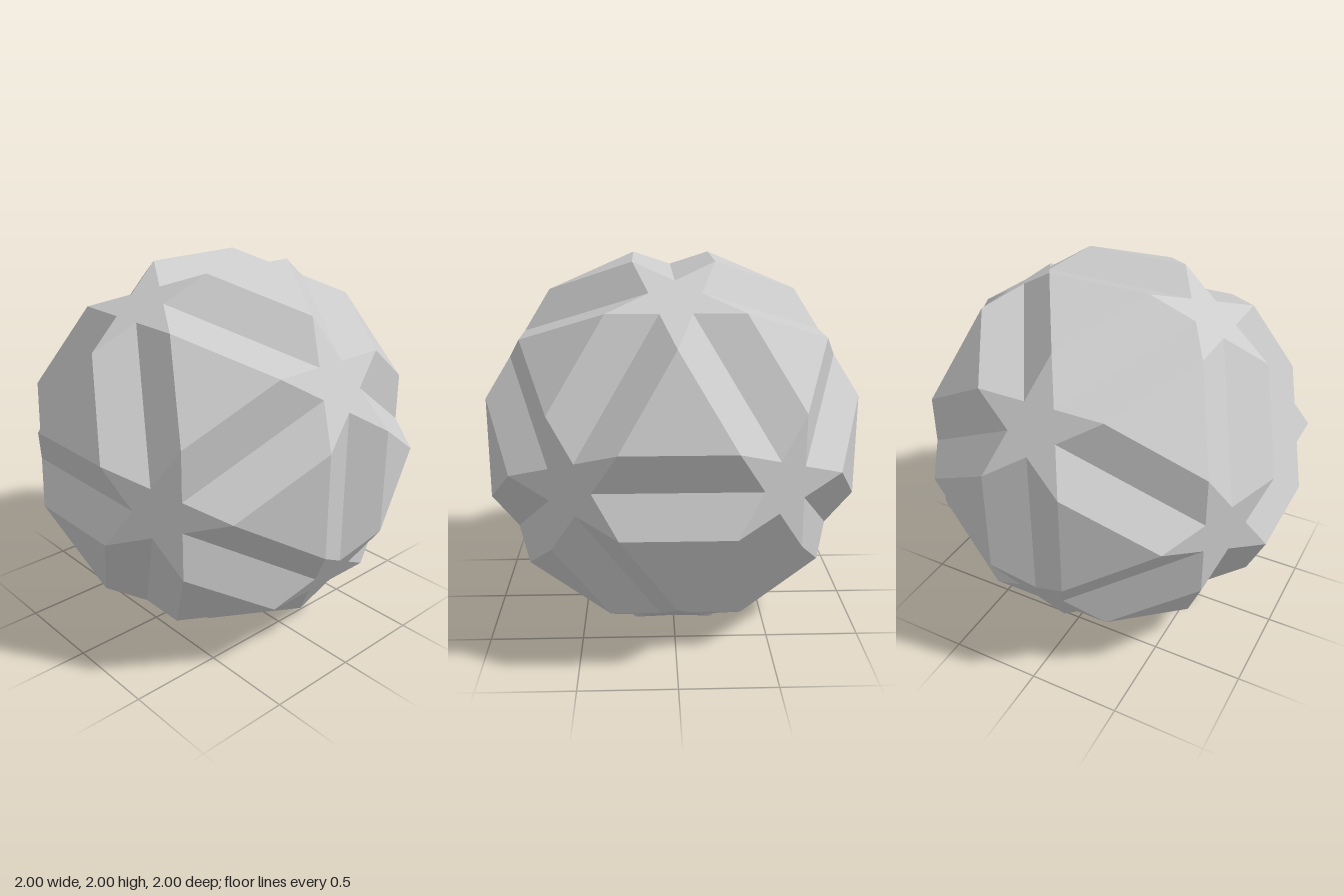
import * as THREE from 'three';

const PHI = (1 + Math.sqrt(5)) / 2;
const TIP_T = 0.21;                                   // star tip: share along the triangle axis
const TIP_S = (1 - TIP_T * PHI * PHI) / PHI;          // star tip: share along the star axis

// Non-indexed faceted mesh from convex fans, each wound to face outwards
function facetMesh(name, polygons) {
  const pos = [];
  for (const poly of polygons) {
    for (let i = 1; i < poly.length - 1; i++) {
      const [a, b, c] = [poly[0], poly[i], poly[i + 1]];
      const n = b.clone().sub(a).cross(c.clone().sub(a));
      const mid = a.clone().add(b).add(c);
      for (const p of n.dot(mid) > 0 ? [a, b, c] : [a, c, b]) pos.push(p.x, p.y, p.z);
    }
  }
  const geo = new THREE.BufferGeometry();
  geo.setAttribute('position', new THREE.Float32BufferAttribute(pos, 3));
  geo.computeVertexNormals();
  const mesh = new THREE.Mesh(geo, new THREE.MeshStandardMaterial({ color: 0xcccccc, flatShading: true }));
  mesh.name = name;
  return mesh;
}

export function createModel() {
  // Icosahedron corners are the axes of the twelve stars
  const axes = [];
  for (const a of [-1, 1]) for (const b of [-PHI, PHI]) {
    axes.push(new THREE.Vector3(a, 0, b), new THREE.Vector3(-b, a, 0), new THREE.Vector3(0, b, a));
  }
  const near = (a, b) => a !== b && a.distanceTo(b) < 2.1;

  // Tip of star v that points towards the triangle v, a, b
  const tip = (v, a, b) => v.clone().add(a).add(b).multiplyScalar(TIP_T / PHI).addScaledVector(v, TIP_S);

  // Centre of star v, and its notch that faces the neighbouring star n
  const neighbours = v => axes.filter(n => near(v, n));
  const starCentre = v => {
    const a = neighbours(v)[0], b = neighbours(v).find(n => near(a, n));
    const t = tip(v, a, b), u = v.clone().normalize();
    const centre = u.clone().multiplyScalar(t.dot(u));
    return { u, centre, radius: t.distanceTo(centre) };
  };
  const notch = (v, n) => {
    const { u, centre, radius } = starCentre(v);
    const dir = n.clone().addScaledVector(u, -n.dot(u)).normalize();
    return centre.clone().addScaledVector(dir, radius / (PHI * PHI));
  };

  const stars = [], triangles = [], grooves = [];
  axes.forEach((v, i) => {
    const { centre } = starCentre(v);
    axes.forEach((a, j) => {
      if (!near(v, a)) return;
      for (const b of axes) {
        if (!near(v, b) || !near(a, b)) continue;
        // Half of a star point
        stars.push([centre, notch(v, a), tip(v, a, b)]);
        // One wall of the V-groove between stars v and a
        if (i < j) grooves.push([notch(v, a), notch(a, v), tip(a, v, b), tip(v, a, b)]);
        // Raised triangle between three stars
        const k = axes.indexOf(b);
        if (i < j && j < k) triangles.push([tip(v, a, b), tip(a, v, b), tip(b, v, a)]);
      }
    });
  });

  const ball = new THREE.Group();
  ball.name = 'starBall';
  ball.add(
    facetMesh('starFaces', stars),
    facetMesh('triangleFaces', triangles),
    facetMesh('grooveWalls', grooves)
  );
  ball.position.y = 1;

  const group = new THREE.Group();
  group.name = 'starPolyhedron';
  group.add(ball);
  return group;
}
